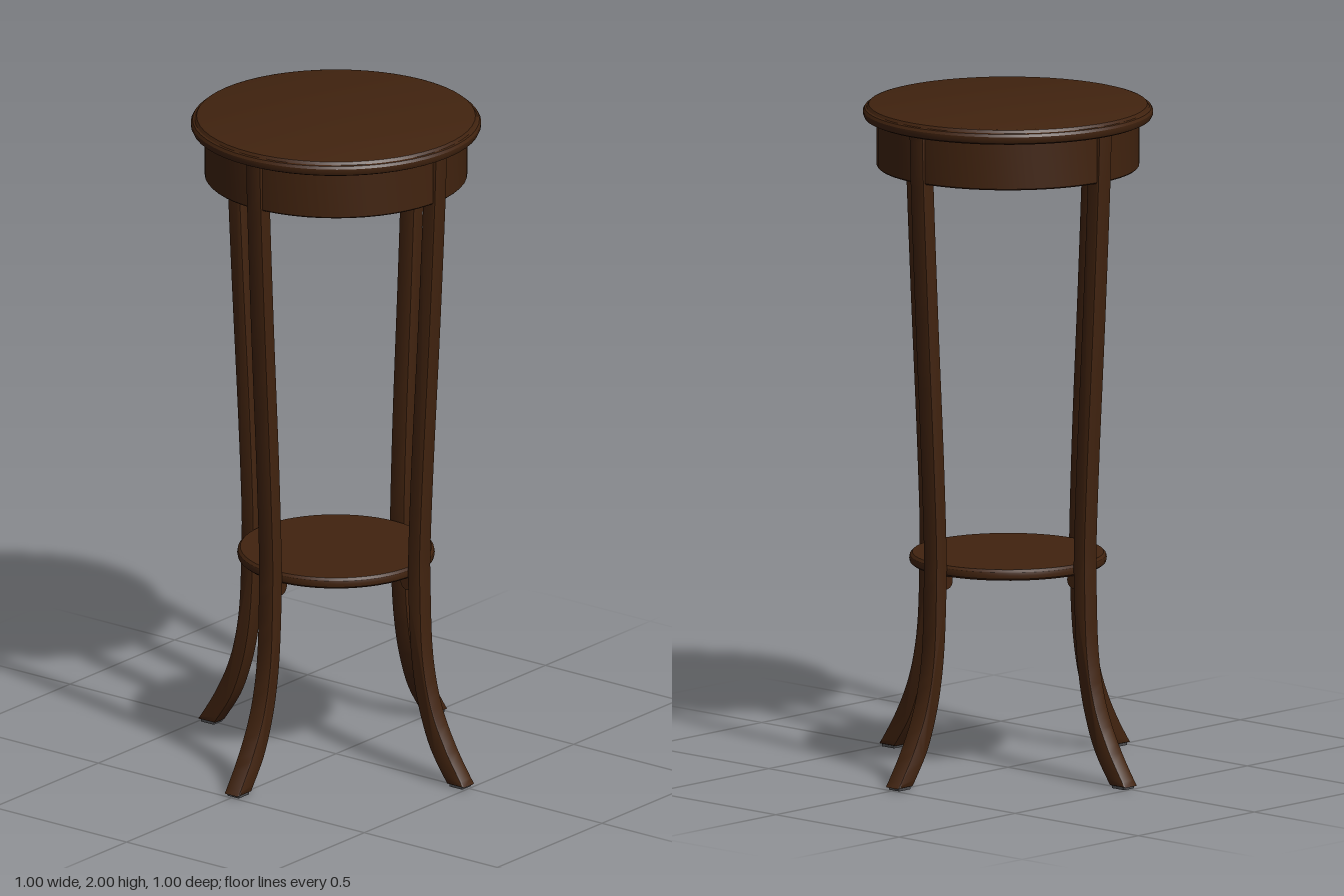
import * as THREE from 'three';
import { toCreasedNormals } from 'three/addons/utils/BufferGeometryUtils.js';

const wood = new THREE.MeshStandardMaterial({ color: 0x41230f });
wood.name = 'dark wood';
const glide = new THREE.MeshStandardMaterial({ color: 0x4a4a4c });
glide.name = 'grey foot glide';

const LEG_WIDTH = 0.055;

function addMesh(parent, name, geometry, material = wood) {
  const mesh = new THREE.Mesh(geometry, material);
  mesh.name = name;
  parent.add(mesh);
  return mesh;
}

// Round part from [radius, height] points, listed bottom to top
function turned(points) {
  const profile = points.map(([r, y]) => new THREE.Vector2(r, y));
  return toCreasedNormals(new THREE.LatheGeometry(profile, 56), 0.5);
}

// Sabre leg: side outline swept between an outer and an inner curve
function legGeometry() {
  const rows = [ // height, outer edge, inner edge
    [0.008, 0.5, 0.437], [0.1, 0.44, 0.376], [0.2, 0.39, 0.337], [0.3, 0.36, 0.313],
    [0.42, 0.343, 0.298], [0.6, 0.337, 0.29], [0.72, 0.337, 0.291], [1, 0.35, 0.303],
    [1.4, 0.373, 0.326], [1.8, 0.393, 0.346], [1.96, 0.398, 0.35],
  ];
  const curve = (i) => new THREE.SplineCurve(rows.map((r) => new THREE.Vector2(r[i], r[0]))).getPoints(40);
  const shape = new THREE.Shape([...curve(1), ...curve(2).reverse()]);
  const bevel = 0.006;
  const geometry = new THREE.ExtrudeGeometry(shape, {
    depth: LEG_WIDTH - 2 * bevel, bevelThickness: bevel, bevelSize: bevel,
    bevelOffset: -bevel, bevelSegments: 2,
  });
  geometry.translate(0, 0, bevel - LEG_WIDTH / 2);
  return toCreasedNormals(geometry, 0.6);
}

export function createModel() {
  const model = new THREE.Group();
  model.name = 'plantStand';

  // Round top with a softened lip
  addMesh(model, 'tableTop', turned([
    [0, 1.955], [0.413, 1.955], [0.424, 1.96], [0.429, 1.97],
    [0.429, 1.98], [0.424, 1.988], [0.418, 1.99], [0.412, 1.998], [0.405, 2], [0, 2],
  ]));

  // Apron drum under the top
  addMesh(model, 'apron', turned([
    [0, 1.812], [0.384, 1.812], [0.388, 1.816], [0.388, 1.957], [0, 1.957],
  ]));

  // Lower shelf
  addMesh(model, 'lowerShelf', turned([
    [0, 0.617], [0.283, 0.617], [0.29, 0.623], [0.292, 0.633],
    [0.29, 0.643], [0.283, 0.65], [0, 0.65],
  ]));

  // Four legs, each with a shelf peg and a foot glide
  const legShape = legGeometry();
  const pegShape = new THREE.CylinderGeometry(0.024, 0.024, 0.034, 20).rotateX(Math.PI / 2);
  const glideShape = new THREE.BoxGeometry(0.048, 0.009, 0.042);
  for (let i = 0; i < 4; i++) {
    const leg = new THREE.Group();
    leg.name = 'legAssembly' + (i + 1);
    addMesh(leg, 'leg', legShape);
    addMesh(leg, 'shelfPeg', pegShape).position.set(0.28, 0.602, 0);
    addMesh(leg, 'footGlide', glideShape, glide).position.set(0.467, 0.0045, 0);
    leg.rotation.y = (i * Math.PI) / 2;
    model.add(leg);
  }
  return model;
}
